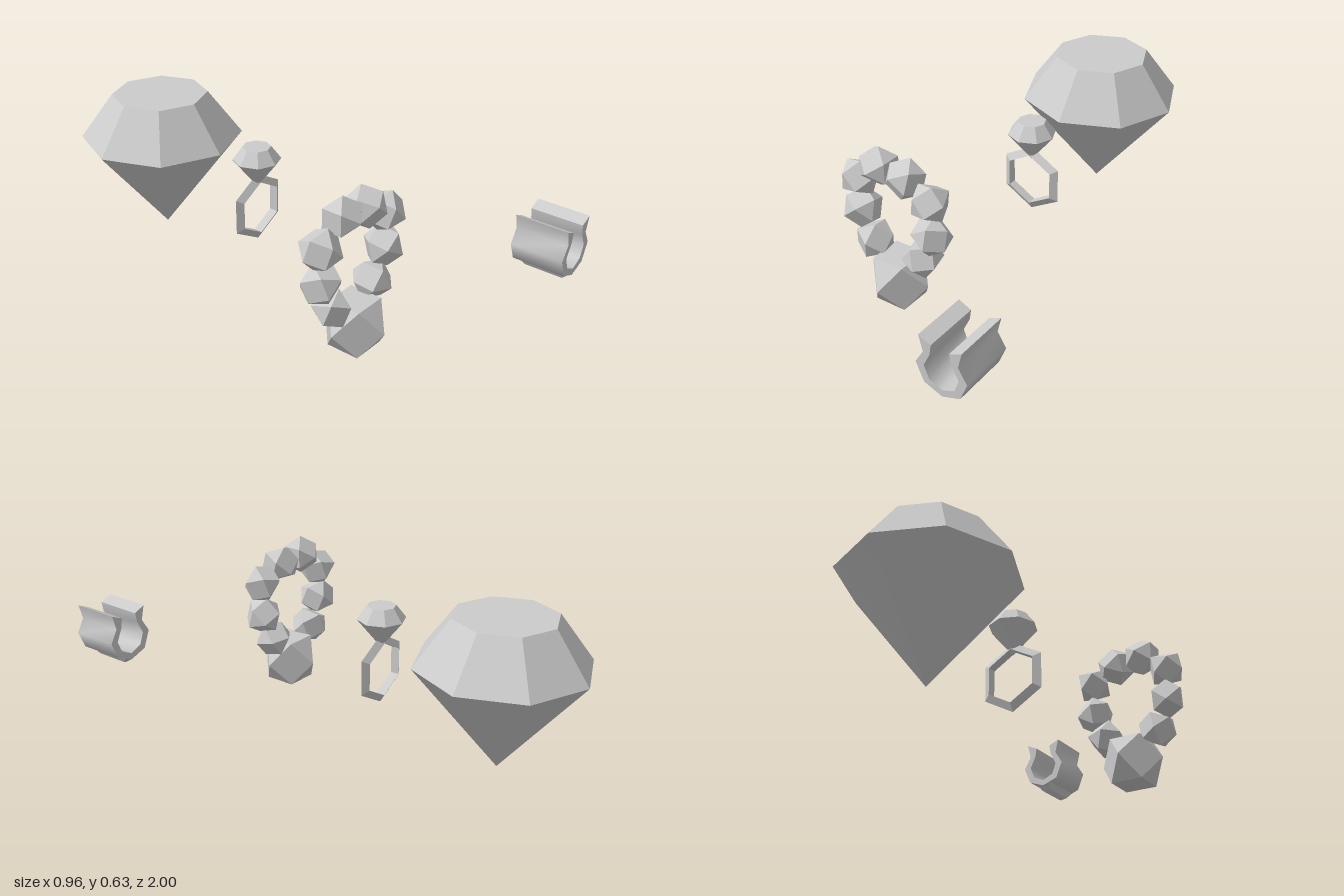
import * as THREE from 'three';
import { toCreasedNormals } from 'three/addons/utils/BufferGeometryUtils.js';
import { ConvexGeometry } from 'three/addons/geometries/ConvexGeometry.js';

const flat = new THREE.MeshStandardMaterial({ color: 0xcccccc, flatShading: true });
const smooth = new THREE.MeshStandardMaterial({ color: 0xcccccc });

function addMesh(parent, name, geometry, material, x = 0, y = 0, z = 0) {
  const mesh = new THREE.Mesh(geometry, material);
  mesh.name = name;
  mesh.position.set(x, y, z);
  parent.add(mesh);
  return mesh;
}

// Eight-sided cut gem, origin at the girdle centre
function makeGem(name, r) {
  const gem = new THREE.Group();
  gem.name = name;
  const crownH = 0.55 * r, pavilionH = 1.24 * r;
  const crown = new THREE.CylinderGeometry(0.59 * r, r, crownH, 8, 1, true);
  addMesh(gem, 'crown', crown, flat, 0, crownH / 2, 0);
  const table = new THREE.CircleGeometry(0.59 * r, 8).rotateX(-Math.PI / 2);
  addMesh(gem, 'table', table, flat, 0, crownH, 0);
  const pavilion = new THREE.CylinderGeometry(r, 0, pavilionH, 8, 1, true);
  addMesh(gem, 'pavilion', pavilion, smooth, 0, -pavilionH / 2, 0);
  return gem;
}

// Cuboctahedron resting on a square face, with a corner to the front
function makeBeadGeometry(r) {
  const points = [];
  for (const s of [-1, 1]) {
    points.push(new THREE.Vector3(s * r, 0, 0), new THREE.Vector3(0, 0, s * r));
    for (const t of [-1, 1])
      for (const u of [-1, 1])
        points.push(new THREE.Vector3(s * r / 2, t * r * Math.SQRT1_2, u * r / 2));
  }
  return new ConvexGeometry(points);
}

// Loop of faceted beads with a large one at the bottom
function makeBracelet() {
  const bracelet = new THREE.Group();
  bracelet.name = 'beadBracelet';
  addMesh(bracelet, 'largeBead', makeBeadGeometry(0.133), flat, -0.233, 0.094, 0.477);
  const small = makeBeadGeometry(0.08);
  // x, y, z, then tilt about x, y, z
  const beads = [
    [-0.305, 0.545, 0.465, 0, 0, 1.57],
    [-0.18, 0.535, 0.47, 0.35, 0.55, 0.15],
    [-0.07, 0.477, 0.475, 0.3, 0.35, 1.3],
    [-0.07, 0.337, 0.475, 0.25, 0.2, 0.5],
    [-0.123, 0.218, 0.47, 0.2, 0.15, 0.9],
    [-0.355, 0.21, 0.465, -0.25, 0.2, 0.45],
    [-0.408, 0.33, 0.46, 0.3, -0.5, -0.15],
    [-0.41, 0.463, 0.46, 0.3, 0.45, 1.3],
  ];
  for (const [x, y, z, rx, ry, rz] of beads)
    addMesh(bracelet, 'smallBead', small, flat, x, y, z).rotation.set(rx, ry, rz);
  return bracelet;
}

// Thick horseshoe with flared tips and a bevelled foot
function makeHorseshoe() {
  const shoe = new THREE.Group();
  shoe.name = 'horseshoe';
  shoe.position.set(0.378, 0, 0.795);
  const outer = [[0.082, 0.418], [0.067, 0.358], [0.099, 0.304], [0.07, 0.234]];
  const inner = [[0.049, 0.256], [0.067, 0.304], [0.041, 0.358], [0.035, 0.397]];
  const mirror = (list) => list.map(([x, y]) => [-x, y]).reverse();
  const outline = [
    ...mirror(outer).reverse(), [0, 0.208], ...outer.slice().reverse(),
    ...inner.slice().reverse(), [0, 0.234], ...mirror(inner).reverse(),
  ].map(([x, y]) => new THREE.Vector2(x, y));
  const body = new THREE.ExtrudeGeometry(new THREE.Shape(outline), { depth: 0.205, bevelEnabled: false });
  addMesh(shoe, 'shoeBody', toCreasedNormals(body, 1.0), smooth);

  const corners = [];
  for (const s of [-1, 1]) {
    for (const t of [-1, 1]) {
      corners.push(new THREE.Vector3(s * 0.036, 0.22, t * 0.1));
      corners.push(new THREE.Vector3(s * 0.02, 0.193, t * 0.075));
    }
    corners.push(new THREE.Vector3(0, 0.182, s * 0.06));
  }
  addMesh(shoe, 'shoeFoot', new ConvexGeometry(corners), flat, 0, 0, 0.1025);
  return shoe;
}

export function createModel() {
  const model = new THREE.Group();
  model.name = 'treasures';

  const largeGem = makeGem('largeGem', 0.33);
  largeGem.position.set(-0.052, 0.435, -0.67);
  model.add(largeGem);

  // Hexagonal band topped by a small gem
  const ring = new THREE.Group();
  ring.name = 'gemRing';
  ring.position.set(-0.052, 0, -0.143);
  const ringGem = makeGem('ringGem', 0.095);
  ringGem.position.y = 0.48;
  ring.add(ringGem);
  const band = new THREE.TorusGeometry(0.121, 0.0215, 3, 6).rotateZ(Math.PI / 6);
  addMesh(ring, 'ringBand', band, flat, 0, 0.273, 0);
  model.add(ring);

  model.add(makeBracelet(), makeHorseshoe());
  return model;
}
